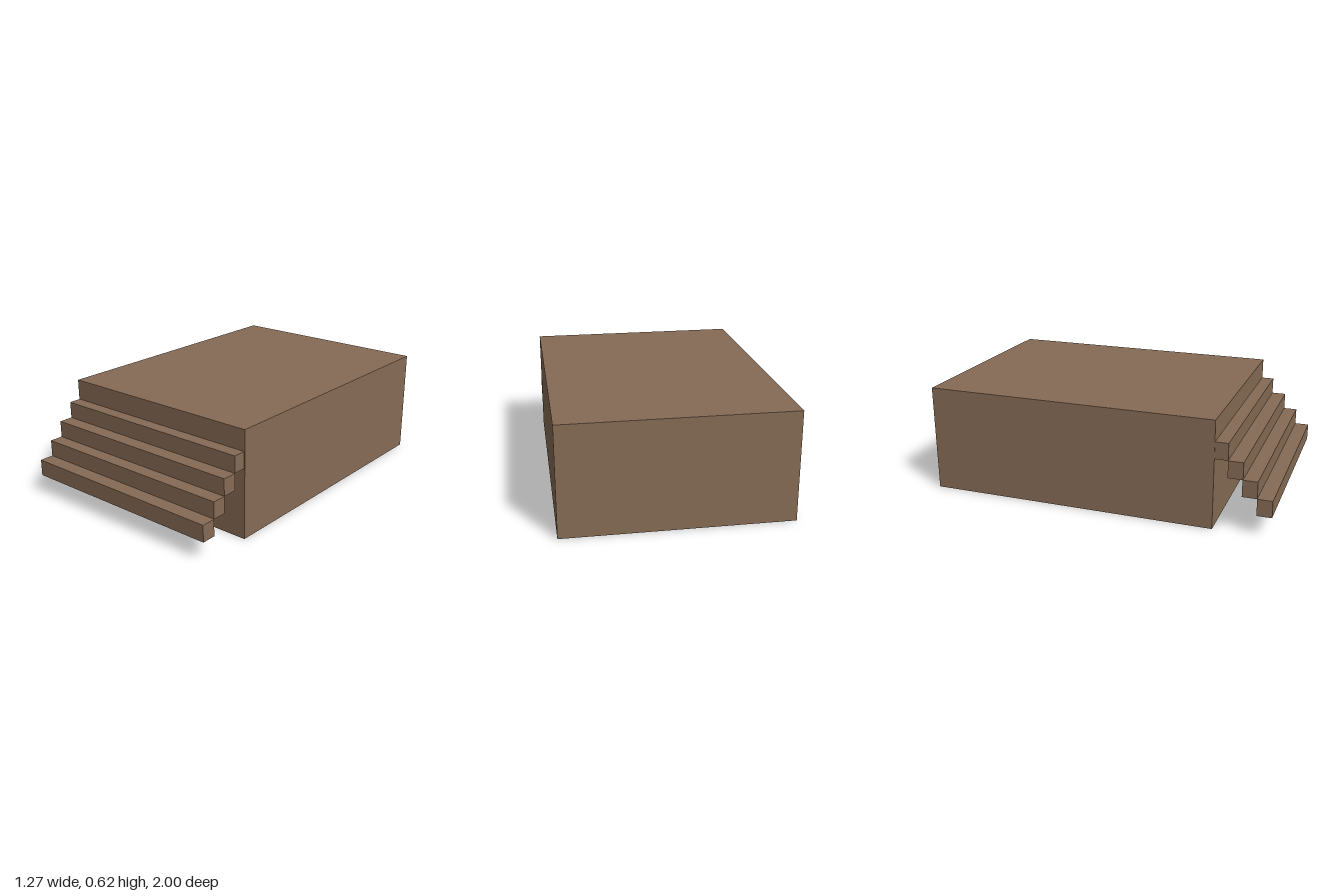
import * as THREE from 'three';

export function createModel() {
  const group = new THREE.Group();
  const brown = new THREE.MeshStandardMaterial({ color: 0x866b55 });
  brown.name = 'brown';

  // Box given by its x, y and z ranges
  function addBox(name, [x0, x1], [y0, y1], [z0, z1]) {
    const mesh = new THREE.Mesh(new THREE.BoxGeometry(x1 - x0, y1 - y0, z1 - z0), brown);
    mesh.position.set((x0 + x1) / 2, (y0 + y1) / 2, (z0 + z1) / 2);
    mesh.name = name;
    group.add(mesh);
  }

  // Main platform
  addBox('platform', [-0.633, 0.633], [0, 0.62], [-1, 0.682]);

  // Floating steps rising from the front edge to the platform
  const heights = [0.115, 0.211, 0.307, 0.404, 0.5];
  const depths = [[0.917, 1], [0.835, 0.917], [0.755, 0.838], [0.675, 0.755]];
  depths.forEach((z, i) => {
    addBox(`step${i + 1}`, [-0.63, 0.627], [heights[i], heights[i + 1]], z);
  });

  return group;
}
